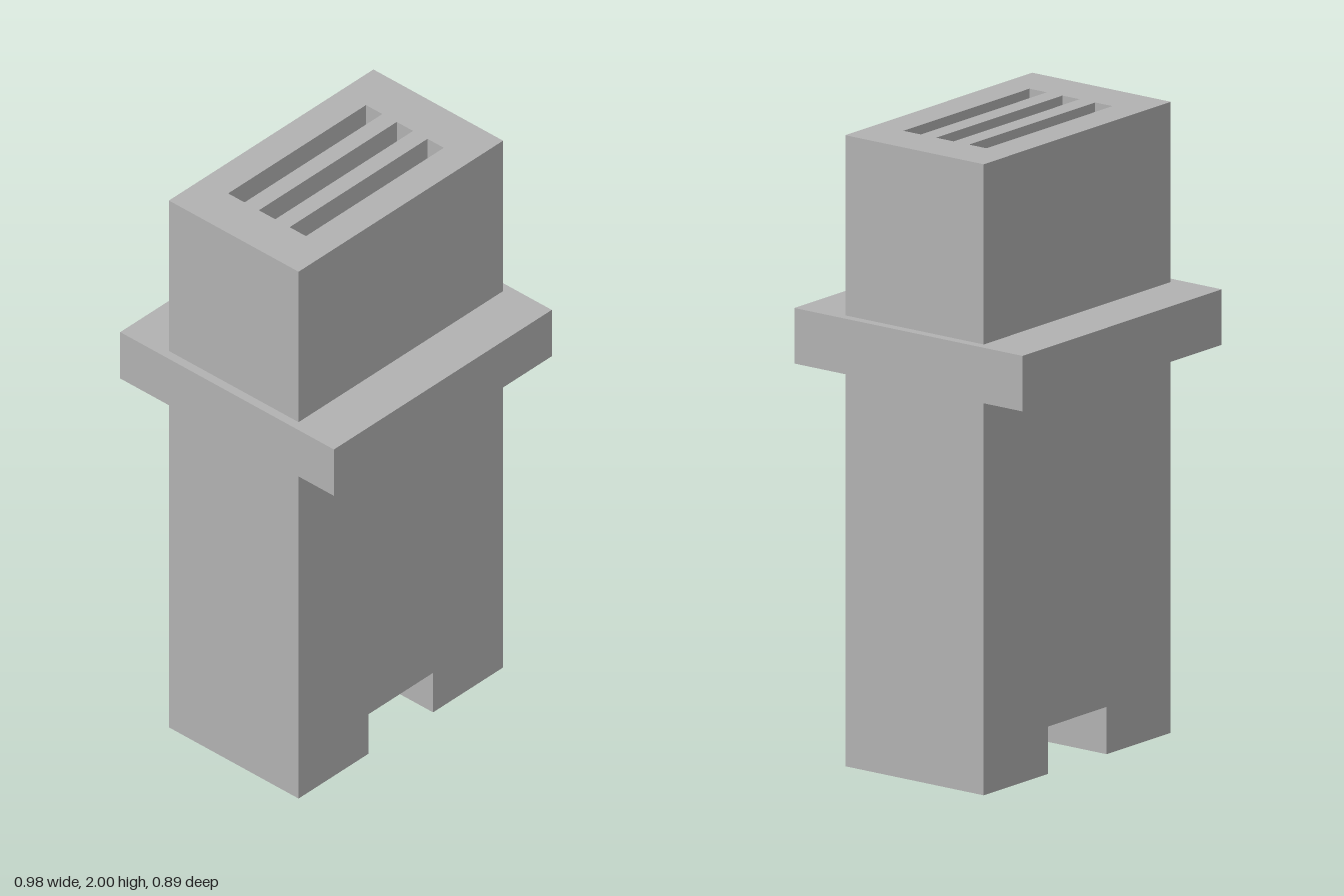
import * as THREE from 'three';

const W = 0.46, D = 0.27;          // half width and half depth of the body
const SEAM = 1.34;                 // body and head meet inside the collar
const SLOT_DEPTH = 0.15;

function rectangle(Type, x0, y0, x1, y1) {
  return new Type([[x0, y0], [x1, y0], [x1, y1], [x0, y1]].map(([x, y]) => new THREE.Vector2(x, y)));
}

export function createModel() {
  const group = new THREE.Group();
  const grey = new THREE.MeshStandardMaterial({ color: 0xb2b2b2 });
  grey.name = 'grey';

  const add = (name, geometry, x = 0, y = 0, z = 0) => {
    const mesh = new THREE.Mesh(geometry, grey);
    mesh.name = name;
    mesh.position.set(x, y, z);
    group.add(mesh);
  };

  // Lower body with a notch running through the foot
  const profile = new THREE.Shape([
    [-W, 0], [-0.145, 0], [-0.145, 0.15], [0.145, 0.15],
    [0.145, 0], [W, 0], [W, SEAM], [-W, SEAM],
  ].map(([x, y]) => new THREE.Vector2(x, y)));
  add('body', new THREE.ExtrudeGeometry(profile, { depth: 2 * D, bevelEnabled: false }), 0, 0, -D);

  // Upper body with three slots open at the top
  const plan = rectangle(THREE.Shape, -W, -D, W, D);
  for (const z of [-0.128, 0, 0.128]) {
    plan.holes.push(rectangle(THREE.Path, -0.31, z - 0.034, 0.31, z + 0.034));
    add('slotFloor', new THREE.BoxGeometry(0.62, 0.008, 0.068), 0, 2 - SLOT_DEPTH - 0.004, z);
  }
  const head = new THREE.ExtrudeGeometry(plan, { depth: 2 - SEAM, bevelEnabled: false });
  head.rotateX(-Math.PI / 2);
  add('head', head, 0, SEAM);

  // Collar, deeper than it is wide of the body
  add('collar', new THREE.BoxGeometry(0.98, 0.176, 0.89), 0, 1.341);

  return group;
}
